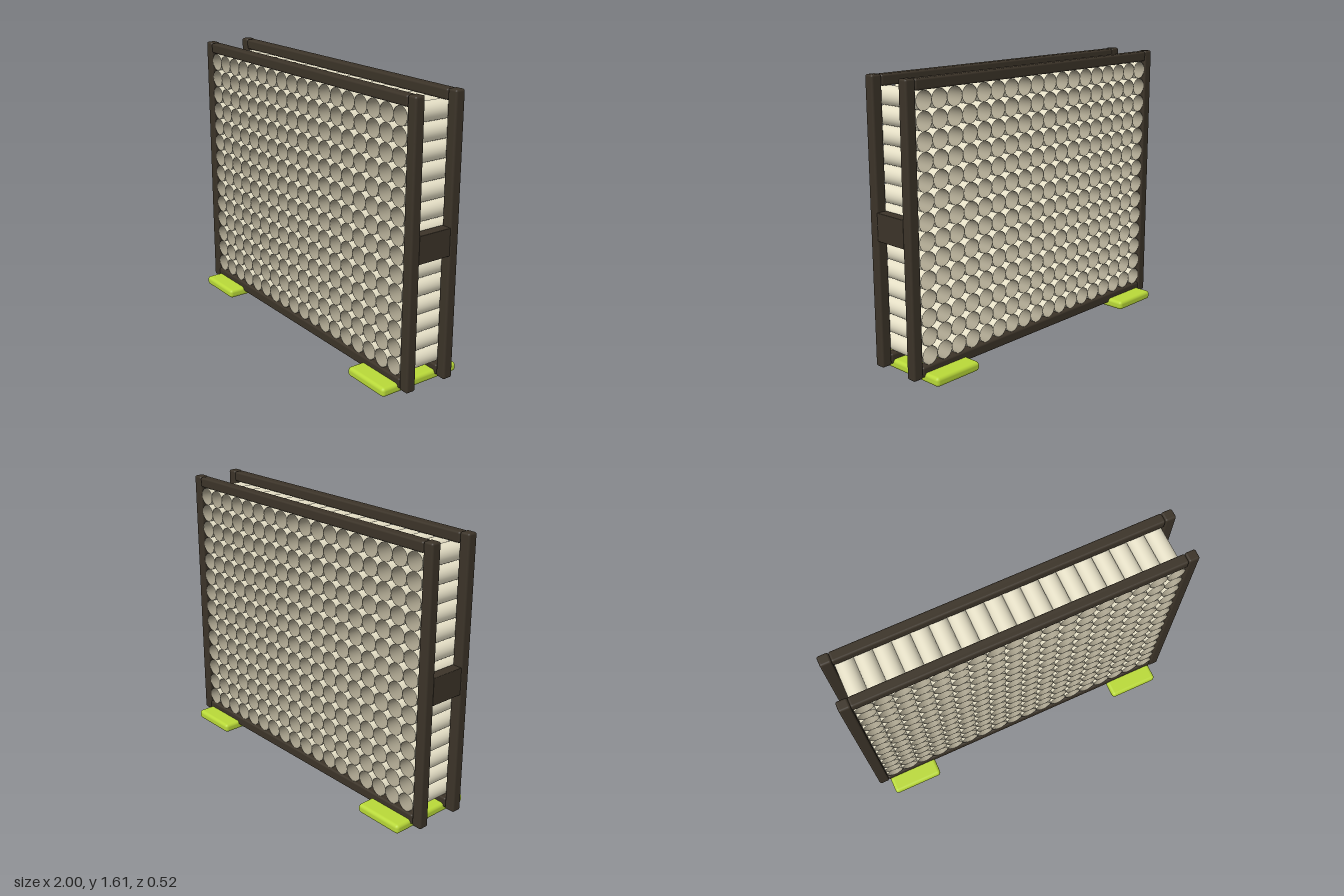
import * as THREE from 'three';
import { RoundedBoxGeometry } from 'three/addons/geometries/RoundedBoxGeometry.js';
import { mergeGeometries } from 'three/addons/utils/BufferGeometryUtils.js';

export function createModel() {
  const group = new THREE.Group();
  const frameMat = new THREE.MeshStandardMaterial({ name: 'dark brown frame', color: 0x3b3328 });
  const footMat = new THREE.MeshStandardMaterial({ name: 'lime green', color: 0xb8d838 });
  const tubeMat = new THREE.MeshStandardMaterial({ name: 'cream', color: 0xe4dec5 });
  const liningMat = new THREE.MeshStandardMaterial({ name: 'shaded cream lining', color: 0xa69f8a });

  // Softened bar spanning the given ranges
  function bar(name, mat, [x0, x1], [y0, y1], [z0, z1], radius) {
    const mesh = new THREE.Mesh(new RoundedBoxGeometry(x1 - x0, y1 - y0, z1 - z0, 3, radius), mat);
    mesh.position.set((x0 + x1) / 2, (y0 + y1) / 2, (z0 + z1) / 2);
    mesh.name = name;
    group.add(mesh);
  }
  const span = (a, b, sign) => (sign > 0 ? [a, b] : [-b, -a]);

  // Front and back frames
  for (const sz of [1, -1]) {
    const z = span(0.1, 0.16, sz);
    const face = sz > 0 ? 'front' : 'back';
    bar(face + 'TopRail', frameMat, [-0.938, 0.938], [1.543, 1.603], z, 0.012);
    bar(face + 'BottomRail', frameMat, [-0.938, 0.938], [0.028, 0.088], z, 0.012);
    for (const sx of [1, -1]) {
      bar(face + (sx > 0 ? 'Left' : 'Right') + 'Post', frameMat, span(0.937, 1, sx), [0.025, 1.606], z, 0.012);
    }
  }

  // Side connectors and feet
  for (const sx of [1, -1]) {
    const side = sx > 0 ? 'left' : 'right';
    bar(side + 'Connector', frameMat, span(0.937, 0.998, sx), [0.738, 0.893], [-0.105, 0.105], 0.004);
    bar(side + 'Foot', footMat, span(0.62, 0.928, sx), [0, 0.054], [-0.26, 0.26], 0.02);
  }

  // Grid of open tubes filling the frames: outer walls, and darker linings with rims
  const cols = 18, rows = 14, pitch = 0.1038, half = 0.155;
  const outer = pitch / 2, inner = outer - 0.001;
  const wall = new THREE.CylinderGeometry(outer, outer, half * 2, 32, 1, true).rotateX(Math.PI / 2);
  const profile = [[outer, half], [inner, half], [inner, half], [inner, -half], [inner, -half], [outer, -half]]
    .map(([r, y]) => new THREE.Vector2(r, y));
  const lining = mergeGeometries([0, 2, 4].map(
    (i) => new THREE.LatheGeometry(profile.slice(i, i + 2), 32))).rotateX(Math.PI / 2);

  function tubeGrid(name, geometry, mat) {
    const copies = [];
    for (let r = 0; r < rows; r++) {
      for (let c = 0; c < cols; c++) {
        copies.push(geometry.clone().translate((c - (cols - 1) / 2) * pitch, 0.142 + r * pitch, 0));
      }
    }
    const mesh = new THREE.Mesh(mergeGeometries(copies), mat);
    mesh.name = name;
    group.add(mesh);
  }
  tubeGrid('tubeWalls', wall, tubeMat);
  tubeGrid('tubeLinings', lining, liningMat);

  return group;
}
